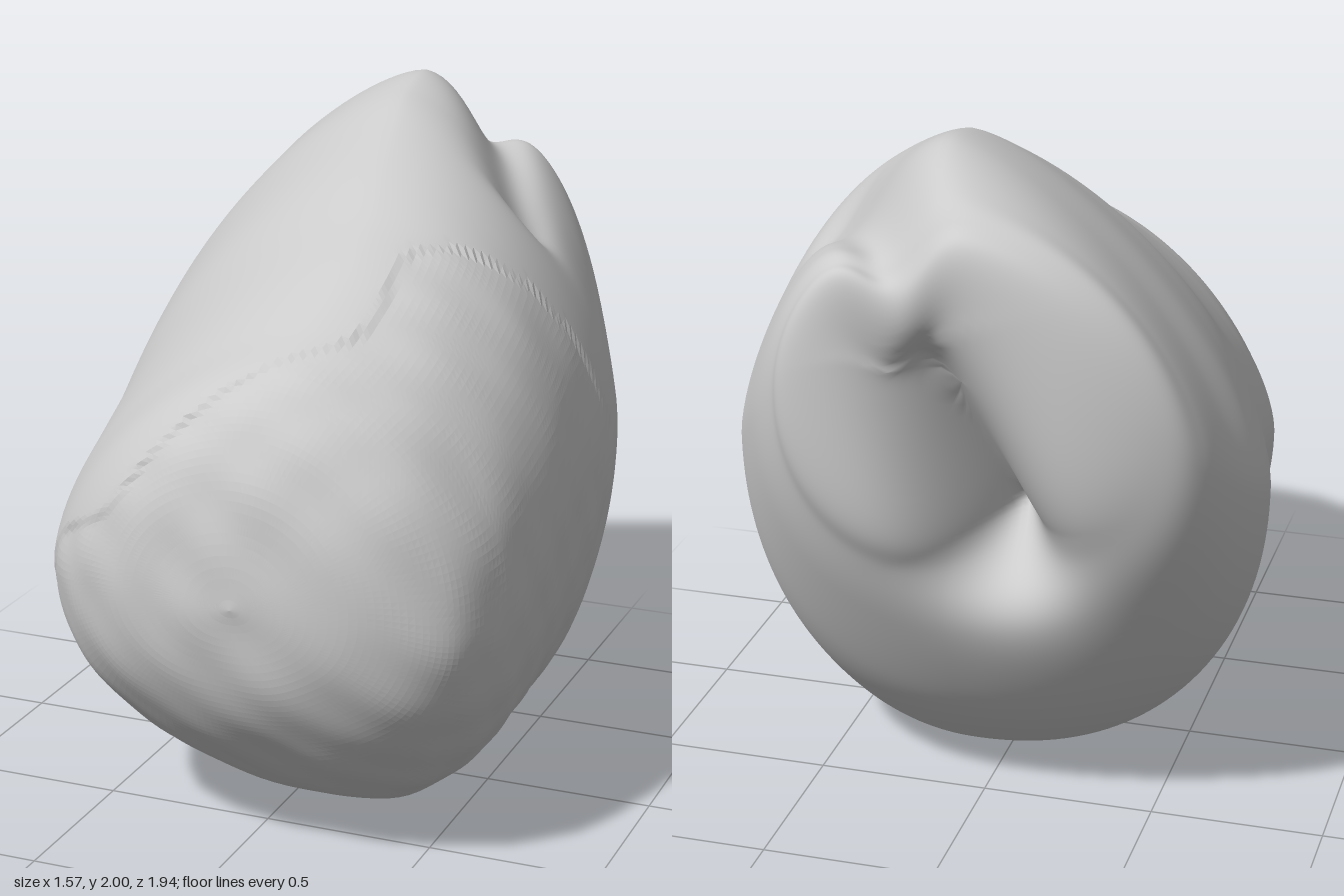
import * as THREE from 'three';

// Cross-sections from back to front:
// z, left x, right x, bottom y, top y, centre x, centre y, power of upper left / upper right
const SECTIONS = [
  [-0.985, -0.04, -0.04, 1.4, 1.4, -0.04, 1.4, 2, 2],
  [-0.97, -0.38, 0.37, 1.0, 1.78, -0.02, 1.38, 2, 2],
  [-0.9, -0.6, 0.47, 0.83, 1.88, 0.0, 1.33, 1.9, 1.9],
  [-0.8, -0.7, 0.56, 0.64, 1.94, 0.02, 1.23, 1.65, 1.7],
  [-0.6, -0.76, 0.67, 0.33, 2.0, 0.05, 1.1, 1.45, 1.5],
  [-0.4, -0.79, 0.75, 0.13, 1.97, 0.06, 1.0, 1.45, 1.55],
  [-0.2, -0.76, 0.775, 0.0, 1.9, 0.1, 0.95, 1.5, 1.75],
  [0.0, -0.71, 0.775, 0.02, 1.82, 0.14, 0.92, 1.55, 1.95],
  [0.2, -0.67, 0.78, 0.04, 1.73, 0.19, 0.88, 1.55, 2.05],
  [0.4, -0.65, 0.77, 0.06, 1.64, 0.21, 0.82, 1.55, 2.0],
  [0.6, -0.61, 0.745, 0.16, 1.52, 0.18, 0.78, 1.6, 2],
  [0.8, -0.5, 0.66, 0.35, 1.4, 0.13, 0.78, 1.7, 2],
  [0.93, -0.29, 0.45, 0.56, 1.18, 0.1, 0.83, 1.9, 2],
  [0.985, 0.1, 0.1, 0.83, 0.83, 0.1, 0.83, 2, 2],
];
const RINGS = 156, SIDES = 160;
const step = THREE.MathUtils.smoothstep;

// Three smooth curves carry the nine section values
const curves = [0, 3, 6].map((k) => new THREE.CatmullRomCurve3(
  SECTIONS.map((s) => new THREE.Vector3(s[k], s[k + 1], s[k + 2])), false, 'catmullrom', 0.5));

// Distance to a 2D segment, and position along it
function toSegment(px, py, ax, ay, bx, by) {
  const dx = bx - ax, dy = by - ay;
  const k = THREE.MathUtils.clamp(((px - ax) * dx + (py - ay) * dy) / (dx * dx + dy * dy), 0, 1);
  return [Math.hypot(px - ax - k * dx, py - ay - k * dy), k];
}

// Positive on the exposed flesh, negative on the skin
function fleshSide(x, y, z) {
  const front = 1.152 * (x - 0.1) - 0.548 * y + 1.451 * (z + 0.2)
    - 0.56 * step(z, 0.2, 0.65) * step(x, -0.67, -0.25) * step(y, 0.35, 0.8);
  const side = z + 0.2 + 0.12 * y * y;
  return Math.min(front, side);
}

function surfacePoint(t, angle) {
  const [a, b, c] = curves.map((curve) => curve.getPoint(t));
  const [xl, xr, yb, yt, xc, yc] = [a.y, a.z, b.x, b.y, b.z, c.x];
  const co = Math.cos(angle), si = Math.sin(angle);
  const power = si < 0 ? 2.15 : co < 0 ? c.y : c.z;
  const r = Math.pow(Math.abs(co) ** power + Math.abs(si) ** power, -1 / power);
  let x = xc + r * co * (co < 0 ? xc - xl : xr - xc);
  let y = yc + r * si * (si < 0 ? yc - yb : yt - yc);
  let z = a.x;

  // Stem hollow: a slanting V-shaped groove, deepest at its lower end
  const [d, k] = toSegment(x, y, 0.06, 1.55, -0.13, 0.95);
  z += (0.12 + 0.35 * k) * Math.exp(-((d / 0.14) ** 1.4)) * step(-z, 0.45, 0.85);

  // Furrow over the back of the crown, fading towards the front
  const [e, m] = toSegment(x, z, 0.1, -0.95, 0.45, -0.36);
  y -= (0.14 - 0.06 * m) * Math.exp(-((e / 0.1) ** 2)) * step(y, 1.35, 1.65);

  // Flesh sits a little below the skin and is slightly uneven
  const bumps = Math.sin(19 * x + 7 * y) * Math.sin(17 * y - 9 * z) * Math.sin(21 * z + 5 * x);
  const scale = 1 - (0.008 - 0.006 * bumps) * step(fleshSide(x, y, z), 0, 0.04);
  return [x * scale, 0.95 + (y - 0.95) * scale, z * scale];
}

export function createModel() {
  const points = [];
  for (let i = 0; i <= RINGS; i++) {
    for (let j = 0; j < SIDES; j++) {
      points.push(...surfacePoint(i / RINGS, (j / SIDES) * Math.PI * 2));
    }
  }

  // Sort every face into skin or flesh
  const skinFaces = [], fleshFaces = [];
  const addFace = (...f) => {
    const mid = [0, 1, 2].map((n) => f.reduce((sum, v) => sum + points[v * 3 + n], 0) / 3);
    (fleshSide(...mid) > 0 ? fleshFaces : skinFaces).push(...f);
  };
  for (let i = 0; i < RINGS; i++) {
    for (let j = 0; j < SIDES; j++) {
      const a = i * SIDES + j, b = i * SIDES + (j + 1) % SIDES;
      if (i > 0) addFace(a, b, a + SIDES);
      if (i < RINGS - 1) addFace(b, b + SIDES, a + SIDES);
    }
  }

  const group = new THREE.Group();
  group.name = 'cutFruit';
  for (const [name, faces] of [['skin', skinFaces], ['flesh', fleshFaces]]) {
    const geometry = new THREE.BufferGeometry();
    geometry.setAttribute('position', new THREE.Float32BufferAttribute(points, 3));
    geometry.setIndex(faces);
    geometry.computeVertexNormals();
    const mesh = new THREE.Mesh(geometry, new THREE.MeshStandardMaterial({
      color: 0xcccccc, flatShading: name === 'flesh', side: THREE.DoubleSide,
    }));
    mesh.name = name;
    group.add(mesh);
  }
  return group;
}
